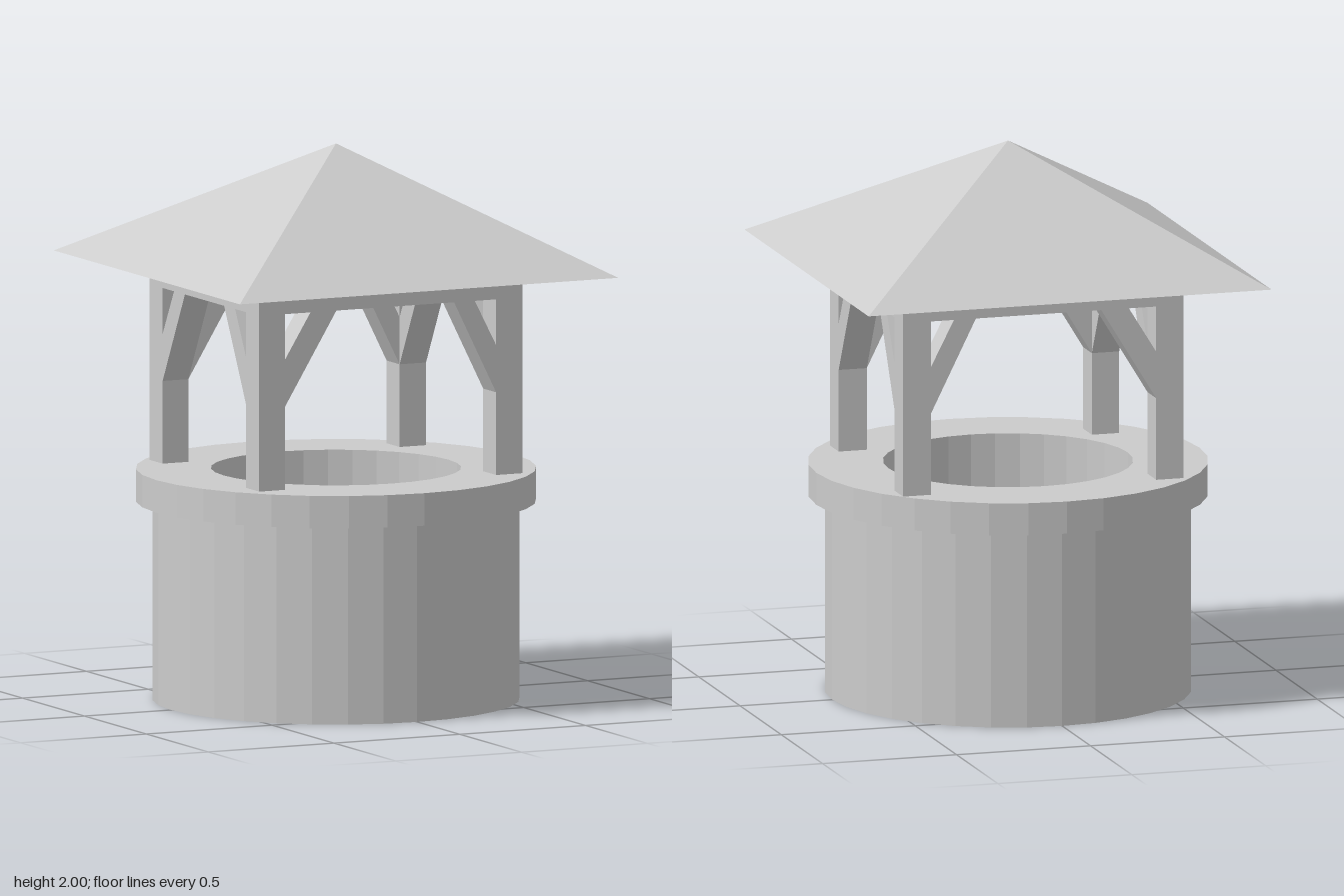
import * as THREE from 'three';

const material = new THREE.MeshStandardMaterial({ color: 0xcccccc, flatShading: true });

function add(parent, name, geometry) {
  const mesh = new THREE.Mesh(geometry, material);
  mesh.name = name;
  parent.add(mesh);
  return mesh;
}

// Box given by its limits on each axis
function addBox(parent, name, [x0, x1], [y0, y1], [z0, z1]) {
  add(parent, name, new THREE.BoxGeometry(x1 - x0, y1 - y0, z1 - z0))
    .position.set((x0 + x1) / 2, (y0 + y1) / 2, (z0 + z1) / 2);
}

// Faceted ring-shaped part turned around the y axis
function addLathe(parent, name, profile) {
  const points = profile.map(([r, y]) => new THREE.Vector2(r, y));
  add(parent, name, new THREE.LatheGeometry(points, 32));
}

export function createModel() {
  const model = new THREE.Group();
  model.name = 'well';

  // Round wall with a closed base, and the wider rim on top
  const hole = 0.447, floor = 0.06, ledge = 0.715, top = 0.832;
  addLathe(model, 'wall', [[0, 0], [0.656, 0], [0.656, ledge], [hole, ledge], [hole, floor], [0, floor]]);
  addLathe(model, 'rim', [[hole, ledge], [0.715, ledge], [0.715, top], [hole, top], [hole, ledge]]);

  // Timber frame: outer and inner faces of the posts along x and z
  const xs = [[-0.512, -0.41], [0.43, 0.535]];
  const zs = [[-0.465, -0.36], [0.315, 0.42]];
  const eaves = 1.565, beamBottom = 1.465;
  const frame = new THREE.Group();
  frame.name = 'frame';
  model.add(frame);

  for (const x of xs) for (const z of zs) addBox(frame, 'post', x, [top, eaves], z);
  for (const z of zs) addBox(frame, 'beam', [xs[0][1], xs[1][0]], [beamBottom, eaves], z);
  for (const x of xs) addBox(frame, 'beam', x, [beamBottom, eaves], [zs[0][1], zs[1][0]]);

  // Slanted braces: near and far are where the brace meets the beam
  const brace = (post, near, far, depth) => new THREE.ExtrudeGeometry(
    new THREE.Shape([[post, 1.13], [post, 1.3], [near, beamBottom], [far, beamBottom]]
      .map(([u, y]) => new THREE.Vector2(u, y))),
    { depth, bevelEnabled: false });

  for (const [z0, z1] of zs) {
    for (const [post, near, far] of [[-0.41, -0.308, -0.205], [0.43, 0.345, 0.263]]) {
      add(frame, 'brace', brace(post, near, far, z1 - z0)).position.z = z0;
    }
  }
  for (const [x0, x1] of xs) {
    for (const [post, near, far] of [[-0.36, -0.268, -0.18], [0.315, 0.226, 0.137]]) {
      const mesh = add(frame, 'brace', brace(post, near, far, x1 - x0));
      mesh.rotation.y = -Math.PI / 2;
      mesh.position.x = x1;
    }
  }

  // Four-sided roof, closed underneath
  const roof = new THREE.ConeGeometry(0.752 * Math.SQRT2, 2 - eaves, 4);
  roof.rotateY(Math.PI / 4);
  add(model, 'roof', roof).position.y = (2 + eaves) / 2;

  return model;
}
